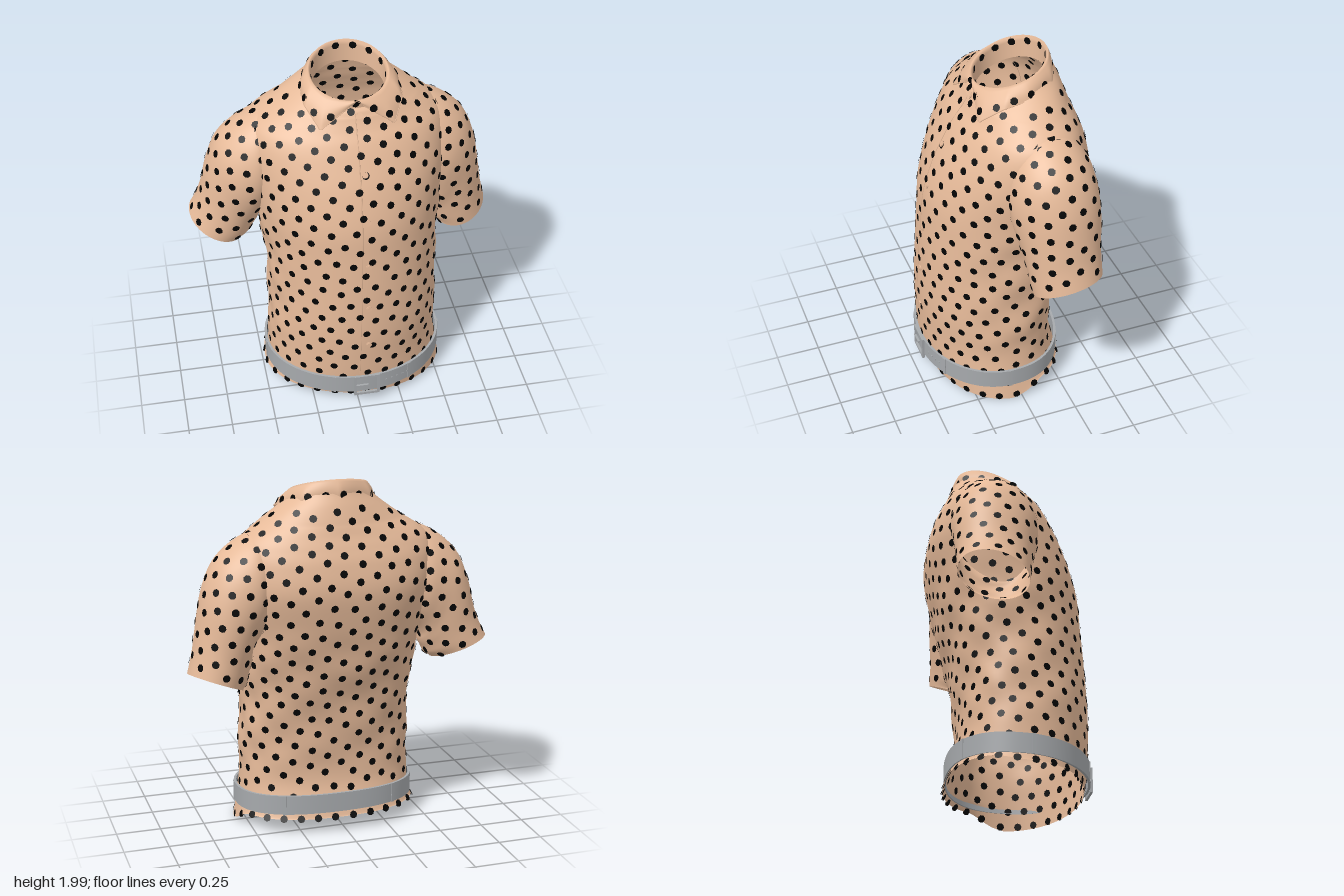
import * as THREE from 'three';
import { mergeGeometries, toCreasedNormals } from 'three/addons/utils/BufferGeometryUtils.js';

const V = (x, y, z) => new THREE.Vector3(x, y, z);
const TAU = Math.PI * 2;
const { lerp, clamp, smoothstep } = THREE.MathUtils;
const mat = (name, color) => {
  const m = new THREE.MeshStandardMaterial({ color, side: THREE.DoubleSide });
  m.name = name;
  return m;
};

// Smooth interpolation through rows of numbers
function sample(rows, t) {
  const last = rows.length - 1;
  const i = clamp(Math.floor(t), 0, last - 1), f = t - i;
  const [a, b, c, d] = [i - 1, i, i + 1, i + 2].map((k) => rows[clamp(k, 0, last)]);
  return b.map((q, k) => q + 0.5 * f * (c[k] - a[k]
    + f * (2 * a[k] - 5 * q + 4 * c[k] - d[k] + f * (3 * (q - c[k]) + d[k] - a[k]))));
}

// Body sections: y, centre x, half width, z of widest point, front z, back z, back squareness
const BODY = [
  [0, 0.035, 0.525, 0.03, 0.41, -0.345, 2.4], [0.15, 0.035, 0.5, 0.03, 0.43, -0.322, 2.4],
  [0.3, 0.03, 0.49, 0.02, 0.438, -0.285, 2.4], [0.5, 0.035, 0.488, 0.02, 0.442, -0.295, 2.4],
  [0.75, 0.035, 0.483, 0, 0.43, -0.335, 2.4], [1.0, 0.03, 0.5, -0.03, 0.41, -0.4, 2.5],
  [1.2, 0.025, 0.52, -0.06, 0.39, -0.445, 2.6], [1.4, 0.025, 0.55, -0.1, 0.33, -0.478, 2.7],
  [1.55, 0.02, 0.56, -0.13, 0.26, -0.46, 2.5], [1.64, 0.02, 0.54, -0.15, 0.21, -0.43, 2.3],
  [1.7, 0.025, 0.485, -0.16, 0.165, -0.405, 2.2], [1.76, 0.035, 0.4, -0.16, 0.13, -0.385, 2],
  [1.82, 0.04, 0.315, -0.14, 0.11, -0.355, 2], [1.86, 0.04, 0.255, -0.11, 0.09, -0.325, 2],
];
function body(u, t) {
  const [y, cx, hw, zm, zf, zb, n] = sample(BODY, t);
  const c = Math.cos(u), s = Math.sin(u);
  const e = s >= 0 ? 1 : 2 / n;
  const bend = (q) => Math.sign(q) * Math.pow(Math.abs(q), e);
  // soft cloth folds on the sides and back
  const mask = smoothstep(y, 0.25, 0.5) * (1 - smoothstep(y, 0.95, 1.3)) * (1 - smoothstep(s, 0.2, 0.8));
  const k = 1 + 0.012 * mask * (Math.sin(5 * u + 17 * y) + 0.6 * Math.sin(9 * u - 23 * y));
  // wavy hem and sloping neck edge
  const hem = lerp(0.03 - 0.03 * c, 0.09, smoothstep(-s, -0.1, 0.45)) * clamp(1 - t, 0, 1);
  const neck = -0.06 * s * clamp((t - 11) / 2, 0, 1);
  return V(cx + hw * bend(c) * k, y + hem + neck, zm + (s >= 0 ? zf - zm : zm - zb) * bend(s) * k);
}

// Sleeve sections: upper x, y, lower x, y, centre z, half depth
const LEFT = [
  [0.42, 1.735, 0.42, 1.17, -0.16, 0.2], [0.52, 1.7, 0.46, 1.13, -0.16, 0.235],
  [0.62, 1.64, 0.5, 1.06, -0.16, 0.24], [0.705, 1.55, 0.51, 1.0, -0.165, 0.23],
  [0.768, 1.4, 0.52, 0.94, -0.175, 0.215], [0.805, 1.2, 0.535, 0.89, -0.18, 0.2],
  [0.825, 1.08, 0.55, 0.86, -0.185, 0.195], [0.855, 0.96, 0.555, 0.845, -0.19, 0.19],
];
const RIGHT = [
  [-0.4, 1.725, -0.4, 1.17, -0.15, 0.2], [-0.5, 1.685, -0.44, 1.13, -0.145, 0.235],
  [-0.6, 1.625, -0.47, 1.07, -0.145, 0.235], [-0.69, 1.53, -0.48, 1.04, -0.15, 0.225],
  [-0.75, 1.38, -0.49, 1.0, -0.16, 0.21], [-0.785, 1.23, -0.51, 0.97, -0.165, 0.2],
  [-0.82, 1.13, -0.53, 0.945, -0.17, 0.195], [-0.86, 1.05, -0.55, 0.93, -0.175, 0.19],
];
const sleeve = (rows) => (u, t) => {
  const [tx, ty, bx, by, zc, hd] = sample(rows, t);
  const k = Math.cos(u) * (1 + 0.01 * Math.sin(2.6 * t) * (1 - Math.cos(u)));
  const tilt = 0.035 * Math.sin(u) * t / 7;
  return V((tx + bx) / 2 + (tx - bx) / 2 * k, (ty + by) / 2 + (ty - by) / 2 * k - tilt, zc + hd * Math.sin(u));
};

// Collar lower edge, from front centre over the pointed tip to the back: angle, x, y, z
const EDGE = [
  [0, 0, 1.85, 0.108], [40, 0.2, 1.72, 0.145], [70, 0.265, 1.81, 0.03],
  [90, 0.272, 1.84, -0.11], [135, 0.2, 1.87, -0.272], [180, 0, 1.885, -0.332],
];
function collarEdge(u) {
  const a = (u > Math.PI ? TAU - u : u) * 180 / Math.PI, side = u > Math.PI ? -1 : 1;
  const i = Math.max(1, EDGE.findIndex((r) => r[0] >= a - 1e-6));
  const p = EDGE[i - 1], q = EDGE[i], f = (a - p[0]) / (q[0] - p[0]);
  return V(0.042 + side * lerp(p[1], q[1], f), lerp(p[2], q[2], f), lerp(p[3], q[3], f));
}
function collar(u, t) {
  const c = Math.cos(u), s = Math.sin(u);
  const ring = (r, drop) => V(0.037 + r * s, 1.928 - 0.068 * c - drop, -0.102 + (r - 0.012) * c);
  if (t <= 1) {
    const p = collarEdge(u).lerp(ring(0.214, 0.004), t), bulge = 0.01 * Math.sin(Math.PI * t);
    return p.add(V(s * bulge, bulge * 0.3, c * bulge));
  }
  return ring(0.205, 0).lerp(ring(0.2, 0.13), t - 1);
}

// Mesh of a surface that closes on itself around u
function surface(fn, t0, t1, nu, nt) {
  const pos = [], idx = [];
  for (let j = 0; j <= nt; j++)
    for (let i = 0; i < nu; i++) pos.push(...fn(i / nu * TAU, lerp(t0, t1, j / nt)).toArray());
  for (let j = 0; j < nt; j++)
    for (let i = 0; i < nu; i++) {
      const a = j * nu + i, b = j * nu + (i + 1) % nu;
      idx.push(a, a + nu, b, b, a + nu, b + nu);
    }
  const g = new THREE.BufferGeometry();
  g.setAttribute('position', new THREE.Float32BufferAttribute(pos, 3));
  g.setIndex(idx);
  g.computeVertexNormals();
  return g;
}

// Evenly packed round dots on both faces of a surface
function dots(fn, ranges, gap = 0.093, r = 0.0215) {
  const pos = [], centres = [], NU = 240, NT = 260;
  const put = (p, u, t) => {
    const e1 = fn(u + 0.01, t).sub(fn(u - 0.01, t)).normalize();
    const n = e1.clone().cross(fn(u, t + 0.01).sub(fn(u, t - 0.01))).normalize();
    const e2 = n.clone().cross(e1);
    for (const o of [0.0035, -0.0035]) {
      const at = (k) => p.clone().addScaledVector(n, o)
        .addScaledVector(e1, r * Math.cos(k * TAU / 8)).addScaledVector(e2, r * Math.sin(k * TAU / 8));
      for (let k = 1; k < 7; k++)
        for (const q of o > 0 ? [0, k, k + 1] : [0, k + 1, k]) pos.push(...at(q).toArray());
    }
  };
  for (const [t0, t1] of ranges) {
    centres.length = 0;
    for (let j = 0; j <= NT; j++)
      for (let i = 0; i < NU; i++) {
        const u = (i + 0.5) / NU * TAU, t = lerp(t0, t1, j / NT), p = fn(u, t);
        if (centres.some((c) => c.distanceToSquared(p) < gap * gap)) continue;
        centres.push(p);
        put(p, u, t);
      }
  }
  const g = new THREE.BufferGeometry();
  g.setAttribute('position', new THREE.Float32BufferAttribute(pos, 3));
  g.computeVertexNormals();
  return g;
}

// Point on the chest at a given x and y
function chest(x, y) {
  let lo = 0, hi = 13, u = 0;
  for (let i = 0; i < 30; i++) {
    const t = (lo + hi) / 2, [, cx, hw] = sample(BODY, t);
    u = Math.acos(clamp((x - cx) / hw, -1, 1));
    if (body(u, t).y < y) lo = t; else hi = t;
  }
  return body(u, lo);
}

// Belt ring with rectangular profile
function belt(u, t) {
  const [dy, out] = [[-0.055, 0.004], [-0.055, 0.018], [0.055, 0.018], [0.055, 0.004], [-0.055, 0.004]][Math.round(t)];
  const p = body(u, 1), s = Math.sin(u);
  return V(p.x + Math.cos(u) * out, 0.155 - 0.022 * s + dy, p.z + s * out);
}

export function createModel() {
  const root = new THREE.Group();
  const cloth = mat('peach cloth', 0xe6ba99), black = mat('black dots', 0x040404);
  const grey = mat('grey leather', 0xa6a9ac);
  const add = (name, geo, m) => {
    const mesh = new THREE.Mesh(geo, m);
    mesh.name = name;
    root.add(mesh);
    return mesh;
  };
  const thread = (pts, closed = false) =>
    new THREE.TubeGeometry(new THREE.CatmullRomCurve3(pts, closed, 'centripetal'), pts.length * 2, 0.003, 4, closed);

  // Shirt panels: name, surface, last section, mesh divisions, ranges holding dots
  const panels = [
    ['body', body, 13, 108, 104, [[0.2, 12]]],
    ['leftSleeve', sleeve(LEFT), 7, 56, 42, [[0.8, 6.75]]],
    ['rightSleeve', sleeve(RIGHT), 7, 56, 42, [[0.8, 6.75]]],
    ['collar', collar, 2, 108, 16, [[0.25, 0.8], [1.25, 1.8]]],
  ];
  for (const [name, fn, end, nu, nt, ranges] of panels) {
    add(name, surface(fn, 0, end, nu, nt), cloth);
    add(name + 'Dots', dots(fn, ranges), black);
  }

  // Raised seams of the collar edge and the button placket
  const edge = Array.from({ length: 72 }, (_, i) => collarEdge(i / 72 * TAU));
  add('collarSeam', thread(edge, true), cloth);
  const placket = Array.from({ length: 30 }, (_, i) => chest(lerp(0.005, 0.035, i / 29), lerp(0.2, 1.78, i / 29)));
  add('placketSeam', thread(placket), cloth);

  // Buttons with a stepped rim
  for (const y of [0.43, 0.69, 0.97, 1.25, 1.5, 1.77]) {
    const p = chest(0.055, y);
    const slope = chest(0.055, y + 0.02).sub(chest(0.055, y - 0.02));
    for (const [r, h, name] of [[0.017, 0.01, 'buttonRim'], [0.012, 0.014, 'button']]) {
      const b = add(name, new THREE.CylinderGeometry(r, r, h, 16), cloth);
      b.position.copy(p);
      b.rotation.x = Math.PI / 2 + Math.atan2(slope.z, slope.y);
    }
  }

  // Belt, keeper loops and eyelets
  add('belt', toCreasedNormals(surface(belt, 0, 4, 96, 4), 0.7), grey);
  const onBelt = (name, u, w, h, d) => {
    const p = belt(u, 1), q = belt(u + 0.02, 1).sub(belt(u - 0.02, 1));
    const b = add(name, new THREE.BoxGeometry(w, h, d), grey);
    b.position.set(p.x, p.y + 0.055, p.z);
    b.rotation.y = Math.atan2(-q.z, q.x);
  };
  for (const u of [1.02, 1.92, 0.1, 3.05, 4.1, 5.3]) onBelt('beltLoop', u, 0.02, 0.113, 0.008);
  for (let i = 0; i < 5; i++) onBelt('beltEyelet', 1.32 - i * 0.07, 0.009, 0.009, 0.006);

  // Buckle frame and prong
  const rect = (w, h) => [[-w, -h], [w, -h], [w, h], [-w, h]].map((p) => new THREE.Vector2(...p));
  const frame = new THREE.Shape(rect(0.075, 0.07));
  frame.holes.push(new THREE.Path(rect(0.06, 0.055).reverse()));
  const frameGeo = new THREE.ExtrudeGeometry(frame, { depth: 0.014, bevelEnabled: false });
  const prong = new THREE.BoxGeometry(0.075, 0.012, 0.012).toNonIndexed().translate(-0.03, 0, 0.012);
  const buckle = add('buckle', mergeGeometries([frameGeo, prong]), grey);
  buckle.position.set(0.045, 0.13, 0.446);
  return root;
}
